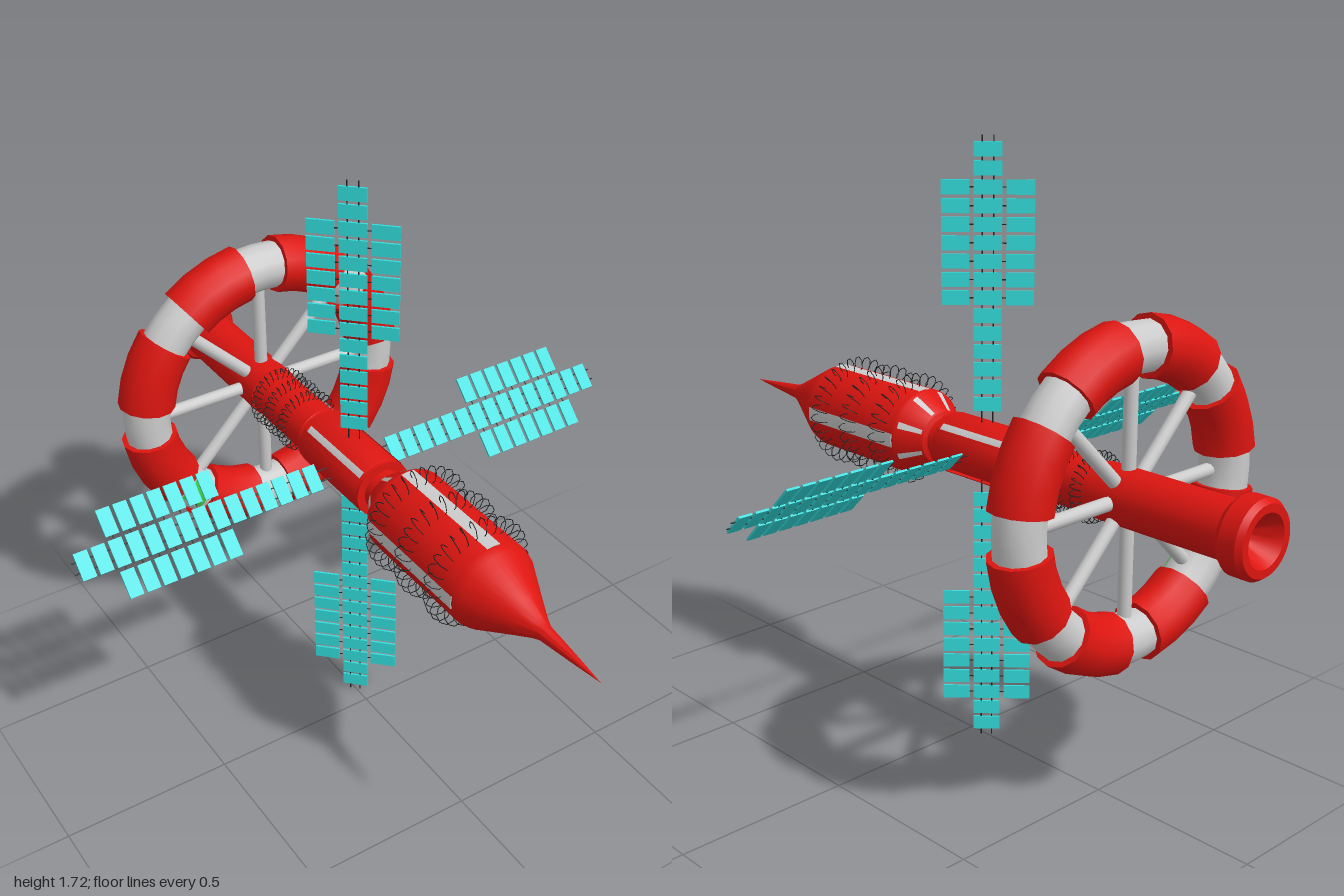
import * as THREE from 'three';
import { toCreasedNormals } from 'three/addons/utils/BufferGeometryUtils.js';

const paint = (color) => new THREE.MeshStandardMaterial({ color, side: THREE.DoubleSide });
const AXIS_Y = 0.862;

export function createModel() {
  const model = new THREE.Group();
  const ship = new THREE.Group();
  ship.name = 'ship';
  ship.position.y = AXIS_Y;
  model.add(ship);

  const red = paint(0xdd1510), grey = paint(0xcccccc), cyan = paint(0x33dddd);
  const green = paint(0x44cc44), dark = paint(0x222222);

  const add = (name, geometry, material, parent = ship) => {
    const mesh = new THREE.Mesh(geometry, material);
    mesh.name = name;
    parent.add(mesh);
    return mesh;
  };
  // Surface of revolution about the z axis; points are [radius, z]
  const turned = (points, sides = 32, start = 0, arc = Math.PI * 2) => {
    const g = new THREE.LatheGeometry(points.map(([r, z]) => new THREE.Vector2(r, z)), sides, start, arc);
    g.rotateX(Math.PI / 2);
    return toCreasedNormals(g, 0.5);
  };
  // Thin strips that lie on the hull, centred on evenly spaced angles
  const strips = (name, points, count, offset, arc, material, sides = 4) => {
    for (let i = 0; i < count; i++) {
      const a = offset + (i * Math.PI * 2) / count;
      add(name, turned(points, sides, a - arc / 2, arc), material);
    }
  };

  // Rear nozzle, flange, tail tube and neck
  add('tailTube', turned([
    [0, -0.93], [0.03, -0.935], [0.045, -0.96], [0.07, -1], [0.092, -1], [0.103, -0.985],
    [0.103, -0.935], [0.09, -0.918], [0.077, -0.915], [0.077, -0.5], [0.073, -0.5],
    [0.073, -0.24], [0.06, -0.22],
  ]), red);
  // Front hull and needle nose
  add('frontHull', turned([
    [0.06, 0.07], [0.06, 0.12], [0.075, 0.125], [0.122, 0.19], [0.125, 0.2], [0.125, 0.575],
    [0.118, 0.6], [0.06, 0.71], [0.032, 0.765], [0.022, 0.79], [0.011, 0.9], [0, 1],
  ]), red);
  strips('hullStripe', [[0.124, 0.2], [0.127, 0.2], [0.127, 0.575], [0.124, 0.575]], 4, 0, 0.32, grey);
  strips('shoulderStripe', [[0.079, 0.128], [0.121, 0.186]], 8, Math.PI / 8, 0.16, grey, 2);

  // Middle module: grey core showing between curved red panels
  add('middleCore', turned([[0, -0.215], [0.077, -0.215], [0.077, 0.075], [0, 0.075]]), grey);
  strips('middlePanel', [
    [0.07, -0.225], [0.08, -0.225], [0.086, -0.21], [0.086, 0.07], [0.08, 0.085], [0.055, 0.085],
  ], 4, 0, 1.34, red, 8);
  for (const z of [-0.217, 0.077]) {
    add('middleEndRing', turned([[0.05, z - 0.008], [0.084, z - 0.008], [0.084, z + 0.008], [0.05, z + 0.008]]), red);
  }

  // Fine wire coils wound around the hull
  const coil = (name, z, R, r) => {
    const turns = 30, points = [];
    for (let i = 0; i < turns * 8; i++) {
      const t = (i / (turns * 8)) * Math.PI * 2, b = t * turns;
      const d = R + r * Math.cos(b);
      points.push(new THREE.Vector3(d * Math.cos(t), d * Math.sin(t), z + r * Math.sin(b)));
    }
    const path = new THREE.CatmullRomCurve3(points, true);
    add(name, new THREE.TubeGeometry(path, turns * 8, 0.0014, 3, true), dark);
  };
  for (const z of [0.25, 0.38, 0.51]) coil('frontCoil', z, 0.136, 0.026);
  for (const z of [-0.32, -0.395, -0.465]) coil('rearCoil', z, 0.081, 0.016);

  // Habitat wheel: grey core ring, eight red sleeves and eight spokes
  const wheel = new THREE.Group();
  wheel.name = 'habitatWheel';
  wheel.position.z = -0.572;
  ship.add(wheel);
  const R = 0.387, sleeve = 0.083, span = THREE.MathUtils.degToRad(29);
  add('wheelCore', new THREE.TorusGeometry(R, 0.068, 12, 48), grey, wheel);
  for (let i = 0; i < 8; i++) {
    const section = new THREE.Group();
    section.name = 'wheelSection';
    section.rotation.z = (i * Math.PI) / 4;
    wheel.add(section);

    const spoke = new THREE.CylinderGeometry(0.019, 0.019, R - 0.06, 12, 1, true);
    spoke.rotateZ(Math.PI / 2).translate(R / 2, 0, 0);
    add('spoke', spoke, grey, section);

    const start = Math.PI / 8 - span / 2;
    const tube = new THREE.TorusGeometry(R, sleeve, 12, 3, span).rotateZ(start);
    add('sleeve', tube, red, section);
    for (const angle of [start, start + span]) {
      const cap = new THREE.CircleGeometry(sleeve, 12).rotateX(Math.PI / 2);
      cap.translate(R, 0, 0).rotateZ(angle);
      add('sleeveEnd', cap, red, section);
    }
  }
  // Green window on the front of one gap in the wheel
  const windowPane = new THREE.PlaneGeometry(0.075, 0.075, 6, 2);
  const p = windowPane.attributes.position;
  for (let i = 0; i < p.count; i++) {
    const b = Math.PI / 2 + p.getX(i) / 0.07;
    const a = Math.PI * 1.25 - p.getY(i) / R;
    const d = R + 0.07 * Math.cos(b);
    p.setXYZ(i, d * Math.cos(a), d * Math.sin(a), 0.07 * Math.sin(b));
  }
  windowPane.computeVertexNormals();
  add('window', windowPane, green, wheel);

  // Solar arrays: cells along two crossed masts, each plane tilted 45 degrees
  const cell = new THREE.BoxGeometry(0.039, 0.075, 0.006);
  const rail = new THREE.CylinderGeometry(0.0018, 0.0018, 1, 4).rotateZ(Math.PI / 2);
  const solarArray = (name, length) => {
    const array = new THREE.Group();
    array.name = name;
    for (const side of [-1, 1]) {
      for (let i = 0; i < 15; i++) {
        const wide = i >= 6 && i <= 12;
        for (const row of wide ? [-1, 0, 1] : [0]) {
          add('solarCell', cell, cyan, array).position.set(side * (0.137 + i * 0.049), row * 0.086, 0);
        }
        if (wide) {
          const brace = add('crossRail', rail, dark, array);
          brace.rotation.z = Math.PI / 2;
          brace.scale.x = 0.2;
          brace.position.x = side * (0.137 + i * 0.049);
        }
      }
      for (const y of [-0.015, 0.015]) {
        const mast = add('mastRail', rail, dark, array);
        mast.scale.x = length - 0.06;
        mast.position.set(side * (length + 0.06) / 2, y, 0);
      }
    }
    array.position.z = -0.06;
    ship.add(array);
    return array;
  };
  // The horizontal array faces up and forward
  solarArray('horizontalArray', 0.855).rotation.x = -Math.PI / 4;
  // The vertical array faces forward and to the right
  solarArray('verticalArray', 0.86).rotation.set(-Math.PI / 4, 0, Math.PI / 2, 'ZYX');

  return model;
}
